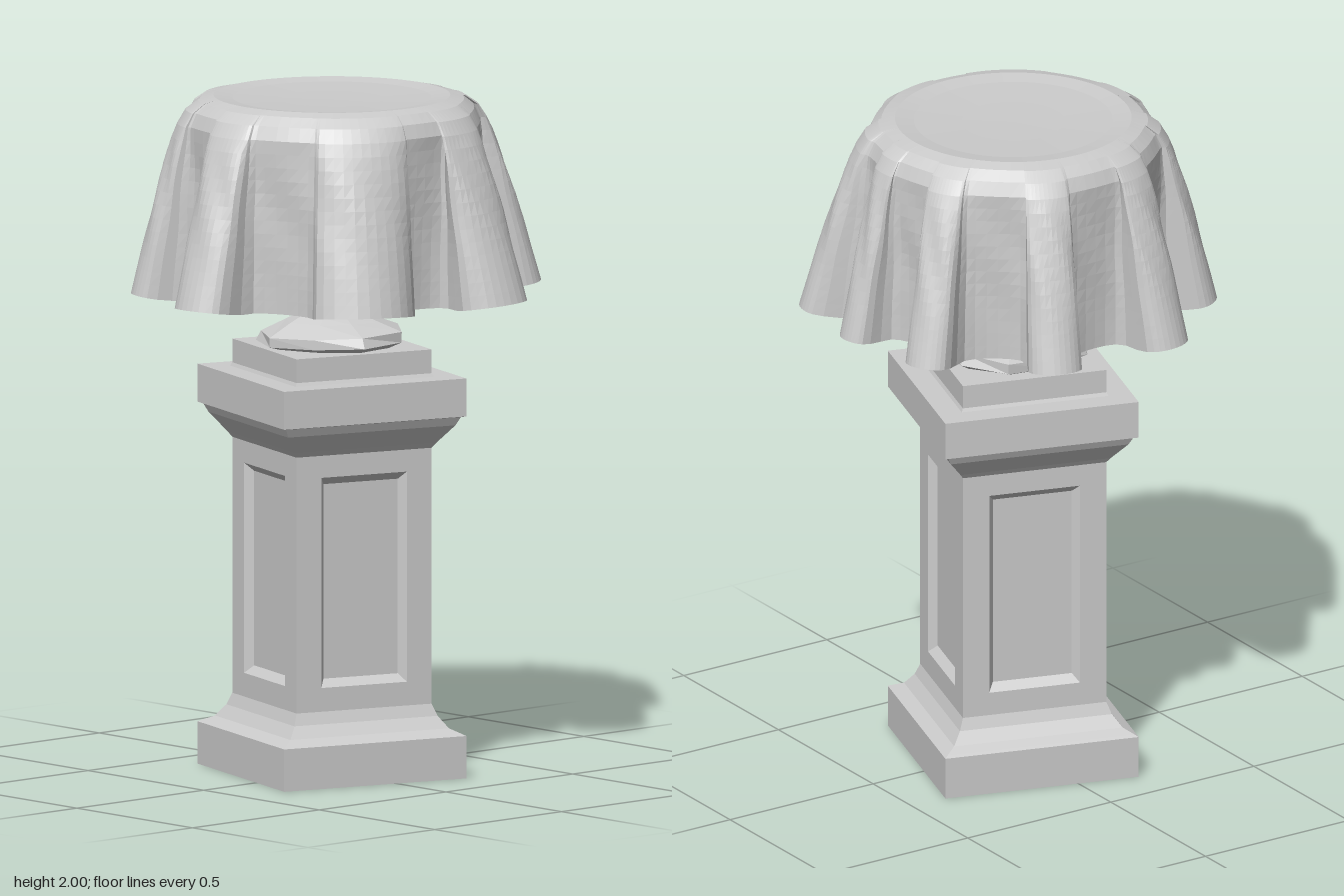
import * as THREE from 'three';

const CX = 0.02, CZ = -0.015;
const stone = new THREE.MeshStandardMaterial({ color: 0xcccccc, flatShading: true });
const fabric = new THREE.MeshStandardMaterial({ color: 0xcccccc, flatShading: true, side: THREE.DoubleSide });

function named(geometry, material, name) {
  const mesh = new THREE.Mesh(geometry, material);
  mesh.name = name;
  return mesh;
}

// Square turned profile: points are [half side, y]
function squareProfile(points, name) {
  const pts = points.map(([a, y]) => new THREE.Vector2(a * Math.SQRT2, y));
  return named(new THREE.LatheGeometry(pts, 4, Math.PI / 4), stone, name);
}

// Nested rectangles [half width, y0, y1, z] joined into a recessed panel face
function panelFace(rects) {
  const loops = rects.map(([w, y0, y1, z]) => [[-w, y0, z], [w, y0, z], [w, y1, z], [-w, y1, z]]);
  const pos = [];
  const quad = (a, b, c, d) => [a, b, c, a, c, d].forEach((p) => pos.push(...p));
  for (let k = 0; k < loops.length - 1; k++) {
    for (let i = 0; i < 4; i++) {
      const j = (i + 1) % 4;
      quad(loops[k][i], loops[k][j], loops[k + 1][j], loops[k + 1][i]);
    }
  }
  quad(...loops[loops.length - 1]);
  const geo = new THREE.BufferGeometry();
  geo.setAttribute('position', new THREE.Float32BufferAttribute(pos, 3));
  geo.computeVertexNormals();
  return geo;
}

function makePedestal() {
  const g = new THREE.Group();
  g.name = 'pedestal';
  const s = 0.218, b = 0.294;
  g.add(squareProfile([[0, 0], [b, 0], [b, 0.125], [0.285, 0.13], [0.256, 0.145],
    [0.231, 0.18], [s, 0.215]], 'pedestalBase'));
  const face = panelFace([[s, 0.215, 0.97, s], [0.138, 0.285, 0.905, s], [0.12, 0.308, 0.882, s - 0.024]]);
  for (let i = 0; i < 4; i++) {
    const side = named(face, stone, 'shaftPanel');
    side.rotation.y = i * Math.PI / 2;
    g.add(side);
  }
  g.add(squareProfile([[s, 0.97], [0.228, 0.985], [0.27, 1.04], [0.282, 1.065], [b, 1.068],
    [b, 1.18], [0, 1.18]], 'pedestalCapital'));
  g.add(squareProfile([[0.223, 1.18], [s, 1.19], [s, 1.26], [0, 1.26]], 'plinth'));
  return g;
}

// Rough-cut stemmed bowl that holds the cloth up: points are [radius, y]
function makeStand() {
  const profile = [[0.17, 1.255], [0.215, 1.275], [0.21, 1.305], [0.14, 1.335], [0.105, 1.35], [0.085, 1.4],
    [0.06, 1.45], [0.065, 1.48], [0.12, 1.53], [0.1, 1.58], [0.07, 1.605], [0.2, 1.63], [0.315, 1.655],
    [0.365, 1.73], [0.39, 1.83], [0.395, 1.94], [0.34, 1.97], [0, 1.97]];
  const geo = new THREE.LatheGeometry(profile.map(([r, y]) => new THREE.Vector2(r, y)), 9);
  const p = geo.attributes.position;
  // Uneven chipped look on the foot and stem
  for (let i = 0; i < p.count; i++) {
    const x = p.getX(i), y = p.getY(i), z = p.getZ(i);
    if (y > 1.62) continue;
    const k = 1 + 0.07 * Math.sin(3 * Math.atan2(z, x) + y * 23);
    p.setXYZ(i, x * k, y + 0.04 * x * Math.sin(y * 40), z * k);
  }
  return named(geo, stone, 'coveredStand');
}

// Hem outline: each fold is [base x, base z, tip x, tip z, half width], in order of rising angle
function hemPoints() {
  const folds = [[0.47, 0, 0.603, 0, 0.055], [0.43, 0.19, 0.57, 0.285, 0.07], [0.175, 0.42, 0.165, 0.597, 0.113],
    [-0.21, 0.34, -0.265, 0.5, 0.155], [-0.41, 0.03, -0.603, 0.033, 0.092], [-0.355, -0.25, -0.48, -0.335, 0.068],
    [-0.135, -0.435, -0.175, -0.598, 0.077], [0.175, -0.435, 0.235, -0.583, 0.078], [0.41, -0.25, 0.55, -0.315, 0.068]]
    .map(([bx, bz, tx, tz, w]) => {
      const len = Math.hypot(tx - bx, tz - bz), dx = (tx - bx) / len, dz = (tz - bz) / len;
      const at = (back, side) => new THREE.Vector3(tx - dx * back - dz * side, 0, tz - dz * back + dx * side);
      return [at(len, -w * 0.92), at(0.6 * w, -w), at(0.15 * w, -w * 0.6), at(0, 0),
        at(0.15 * w, w * 0.6), at(0.6 * w, w), at(len, w * 0.92)];
    });
  // A shallow valley sits between neighbouring folds
  const centre = new THREE.Vector3(CX, 0, CZ);
  return folds.flatMap((f, i) => {
    const next = folds[(i + 1) % folds.length];
    return [...f, f[6].clone().lerp(next[0], 0.5).lerp(centre, 0.05)];
  });
}

function makeCloth() {
  const N = 198, SIDE = 13;
  const hem = new THREE.CatmullRomCurve3(hemPoints(), true, 'centripetal');
  // Top of the cloth as [radius, y], then the hanging side
  const top = [[0, 1.982], [0.15, 1.984], [0.29, 1.989], [0.345, 1.996], [0.385, 1.986], [0.415, 1.96], [0.432, 1.92]];
  const rows = top.length + SIDE;
  const pos = [], idx = [];
  for (let k = 0; k < rows; k++) {
    for (let i = 0; i < N; i++) {
      const h = hem.getPoint(i / N);
      const dx = h.x - CX, dz = h.z - CZ, d = Math.hypot(dx, dz);
      const ux = dx / d, uz = dz / d;
      const swell = (d - 0.44) * 0.05;
      if (k < top.length) {
        const r = top[k][0] + swell * Math.max(0, k - 3);
        pos.push(CX + ux * r, top[k][1], CZ + uz * r);
        continue;
      }
      const t = (k - top.length + 1) / SIDE;
      const b = Math.pow(t, 0.85);
      // Small creases fade out at the hem and the rim
      const crease = 0.006 * Math.sin(i * 0.9 + k * 0.8) * Math.sin(Math.PI * t);
      const r = 0.432 + swell * 3 + crease;
      const hemY = 1.41 + Math.max(0, d - 0.5) * 0.16;
      const x = CX + ux * r, z = CZ + uz * r;
      pos.push(x + (h.x - x) * b, 1.92 + (hemY - 1.92) * t, z + (h.z - z) * b);
    }
  }
  for (let k = 0; k < rows - 1; k++) {
    for (let i = 0; i < N; i++) {
      const j = (i + 1) % N;
      const a = k * N + i, b = k * N + j, c = a + N, e = b + N;
      idx.push(a, b, e, a, e, c);
    }
  }
  const geo = new THREE.BufferGeometry();
  geo.setAttribute('position', new THREE.Float32BufferAttribute(pos, 3));
  geo.setIndex(idx);
  geo.computeVertexNormals();
  return named(geo, fabric, 'drapedCloth');
}

export function createModel() {
  const model = new THREE.Group();
  model.name = 'coveredPedestal';
  // Pedestal and stand are turned slightly beneath the cloth
  const support = new THREE.Group();
  support.name = 'support';
  support.position.set(CX, 0, CZ);
  support.rotation.y = -0.295;
  support.add(makePedestal(), makeStand());
  model.add(support, makeCloth());
  return model;
}
